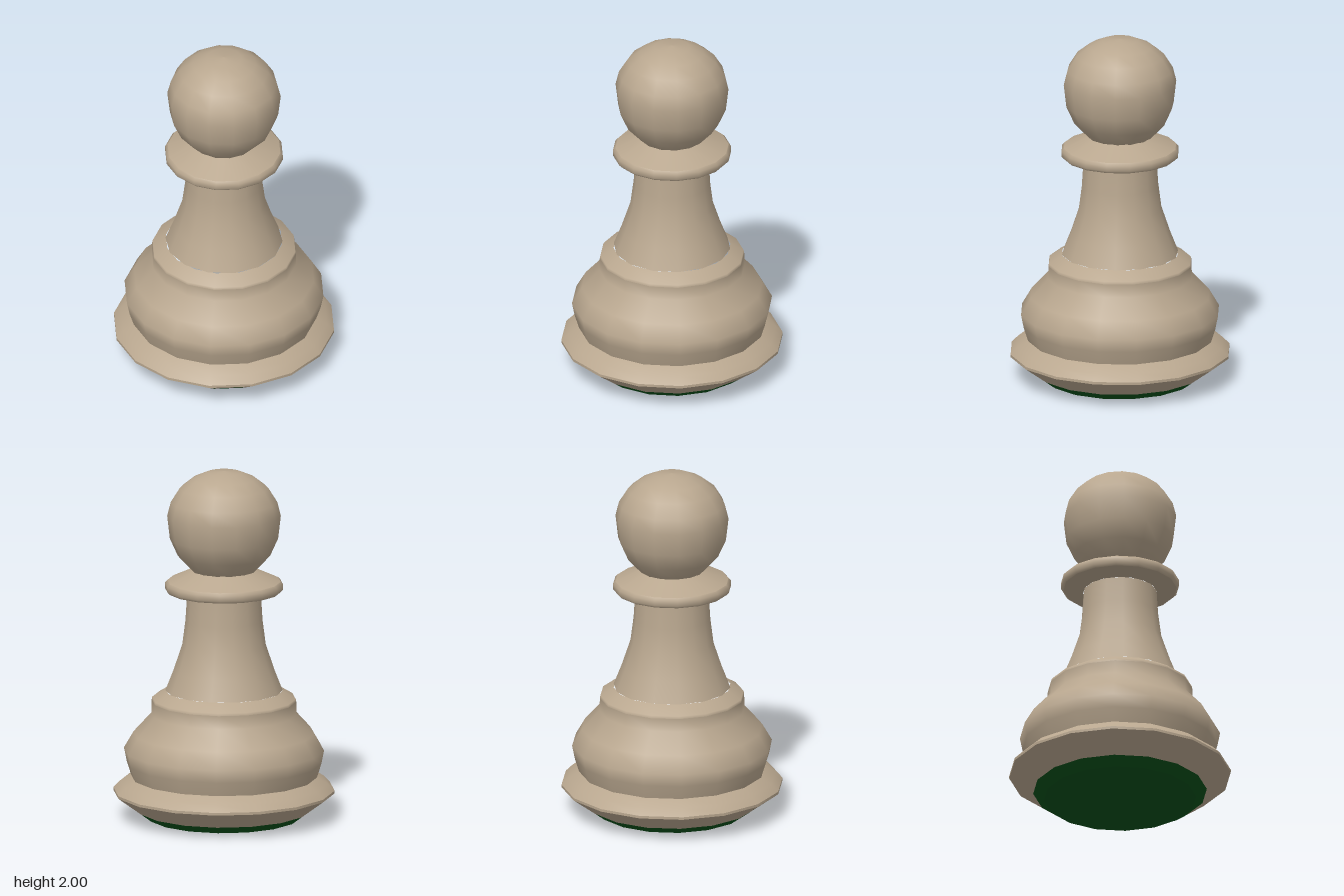
import * as THREE from 'three';

export function createModel() {
  const model = new THREE.Group();
  const wood = new THREE.MeshStandardMaterial({ color: 0xb9a78f });
  wood.name = 'pale wood';
  const felt = new THREE.MeshStandardMaterial({ color: 0x08501a });
  felt.name = 'green felt';

  // Turned part: profile of [radius, height] from bottom to top
  function turn(name, profile, sides, material) {
    const points = profile.map(([r, y]) => new THREE.Vector2(r, y));
    const geometry = new THREE.LatheGeometry(points, sides, Math.PI / sides);
    const mesh = new THREE.Mesh(geometry, material);
    mesh.name = name;
    model.add(mesh);
  }

  // Felt pad under the foot
  turn('feltBottom', [[0, 0], [0.43, 0.005]], 16, felt);
  turn('feltEdge', [[0.43, 0.005], [0.49, 0.05]], 16, felt);

  // Flared foot with a sharp rim
  turn('footUnderside', [[0.49, 0.05], [0.625, 0.15]], 16, wood);
  turn('footRim', [[0.625, 0.15], [0.625, 0.165]], 16, wood);
  turn('footTop', [[0.625, 0.165], [0.585, 0.205], [0.525, 0.24]], 16, wood);

  // Rounded body with a straight upper lip
  turn('body', [[0.525, 0.24], [0.55, 0.32], [0.565, 0.395], [0.51, 0.49], [0.41, 0.6], [0.408, 0.675]], 16, wood);
  turn('bodyLip', [[0.408, 0.675], [0.405, 0.69], [0.33, 0.735]], 16, wood);

  // Tapered neck
  turn('neck', [[0.33, 0.735], [0.285, 0.85], [0.235, 1.0], [0.217, 1.14], [0.208, 1.285]], 14, wood);

  // Collar disc
  turn('collarUnderside', [[0.208, 1.285], [0.32, 1.305]], 16, wood);
  turn('collarRim', [[0.32, 1.305], [0.334, 1.32], [0.334, 1.35], [0.32, 1.365]], 16, wood);
  turn('collarTop', [[0.32, 1.365], [0.18, 1.43]], 16, wood);

  // Ball head
  turn('head', [[0.18, 1.425], [0.26, 1.51], [0.305, 1.61], [0.32, 1.74], [0.3, 1.82], [0.25, 1.9], [0.18, 1.955], [0.1, 1.99], [0, 2]], 14, wood);

  return model;
}
